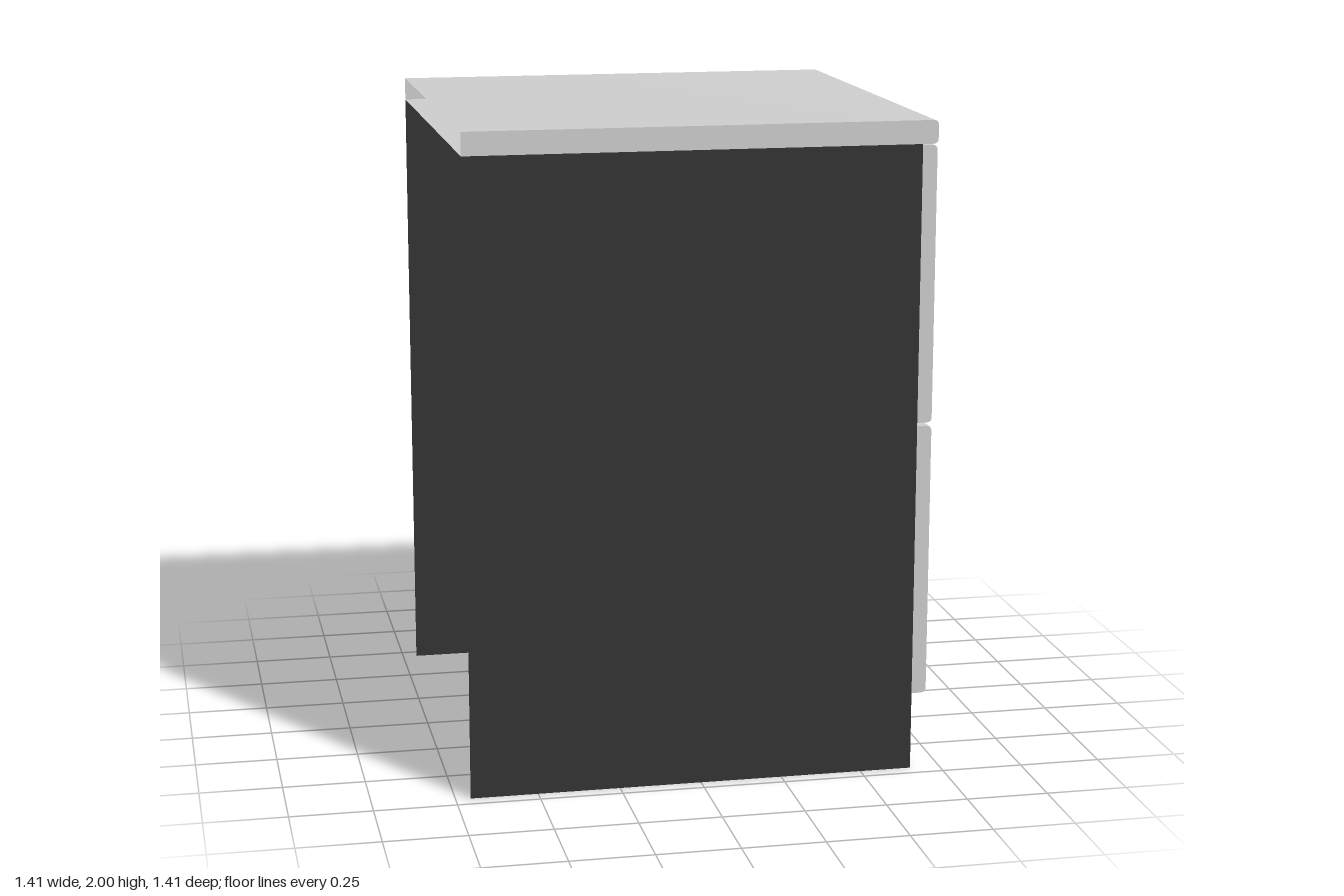
import * as THREE from 'three';
import { mergeGeometries, toCreasedNormals } from 'three/addons/utils/BufferGeometryUtils.js';

const light = new THREE.MeshStandardMaterial({ color: 0xcccccc, side: THREE.DoubleSide });
const dark = new THREE.MeshStandardMaterial({ color: 0x333333, side: THREE.DoubleSide });

const BACK = -0.705, FACE = 0.658, FRONT = 0.705, HALF = 0.705, BODY_TOP = 1.93;

// Sweep an open xy profile along z, as a strip of quads
function strip(points, z0, z1) {
  const pos = [];
  for (let i = 0; i < points.length - 1; i++) {
    const [px, py] = points[i], [qx, qy] = points[i + 1];
    pos.push(px, py, z1, px, py, z0, qx, qy, z0, px, py, z1, qx, qy, z0, qx, qy, z1);
  }
  const geo = new THREE.BufferGeometry();
  geo.setAttribute('position', new THREE.Float32BufferAttribute(pos, 3));
  geo.computeVertexNormals();
  return geo;
}

// Flat end piece across a profile
function cap(points, z) {
  const shape = new THREE.Shape(points.map(([x, y]) => new THREE.Vector2(x, y)));
  const geo = new THREE.ShapeGeometry(shape).toNonIndexed();
  geo.deleteAttribute('uv');
  return geo.translate(0, 0, z);
}

// Quarter-round corner on the drawer side
function corner(y, from, r) {
  return Array.from({ length: 5 }, (_, i) => {
    const a = from + (i / 4) * Math.PI / 2;
    return [FRONT - r + r * Math.cos(a), y + r * Math.sin(a)];
  });
}

function mesh(name, parts, material) {
  const m = new THREE.Mesh(toCreasedNormals(mergeGeometries(parts), 0.6), material);
  m.name = name;
  return m;
}

// Drawer front with rounded long edges and a sloping finger recess
function drawerFront(name, y0, y1) {
  const r = 0.014, half = 0.697, grip = 0.618, depth = 0.036;
  const gripTop = y1 - 0.083, gripLow = y1 - 0.178;
  const low = [[FACE, y0], ...corner(y0 + r, -Math.PI / 2, r)];
  const high = [...corner(y1 - r, 0, r), [FACE, y1]];
  const recess = [[FRONT, gripLow], [FRONT - depth, gripTop], [FRONT, gripTop]];
  const plain = [...low, ...high];
  return mesh(name, [
    strip(plain, -half, -grip),
    strip([...low, ...recess, ...high], -grip, grip),
    strip(plain, grip, half),
    cap(plain, -half), cap(plain, half),
    cap(recess, -grip), cap(recess, grip),
  ], light);
}

function panel(name, width, x, z, turn) {
  const m = new THREE.Mesh(new THREE.PlaneGeometry(width, BODY_TOP), dark);
  m.position.set(x, BODY_TOP / 2, z);
  m.rotation.y = turn;
  m.name = name;
  return m;
}

export function createModel() {
  const group = new THREE.Group();
  group.name = 'drawerCabinet';

  // Thin carcass, open underneath and at the back
  const mid = (BACK + FACE) / 2;
  group.add(
    panel('sidePanel', FACE - BACK, mid, HALF, 0),
    panel('sidePanel', FACE - BACK, mid, -HALF, Math.PI),
    panel('facePanel', HALF * 2, FACE, 0, Math.PI / 2),
  );

  // Worktop shell, open along the back edge
  const r = 0.014;
  const top = [[BACK, BODY_TOP], ...corner(BODY_TOP + r, -Math.PI / 2, r),
    ...corner(2 - r, 0, r), [BACK, 2]];
  group.add(mesh('worktop', [strip(top, -HALF, HALF), cap(top, -HALF), cap(top, HALF)], light));

  group.add(drawerFront('lowerDrawer', 0.238, 1.079), drawerFront('upperDrawer', 1.089, 1.926));
  return group;
}
